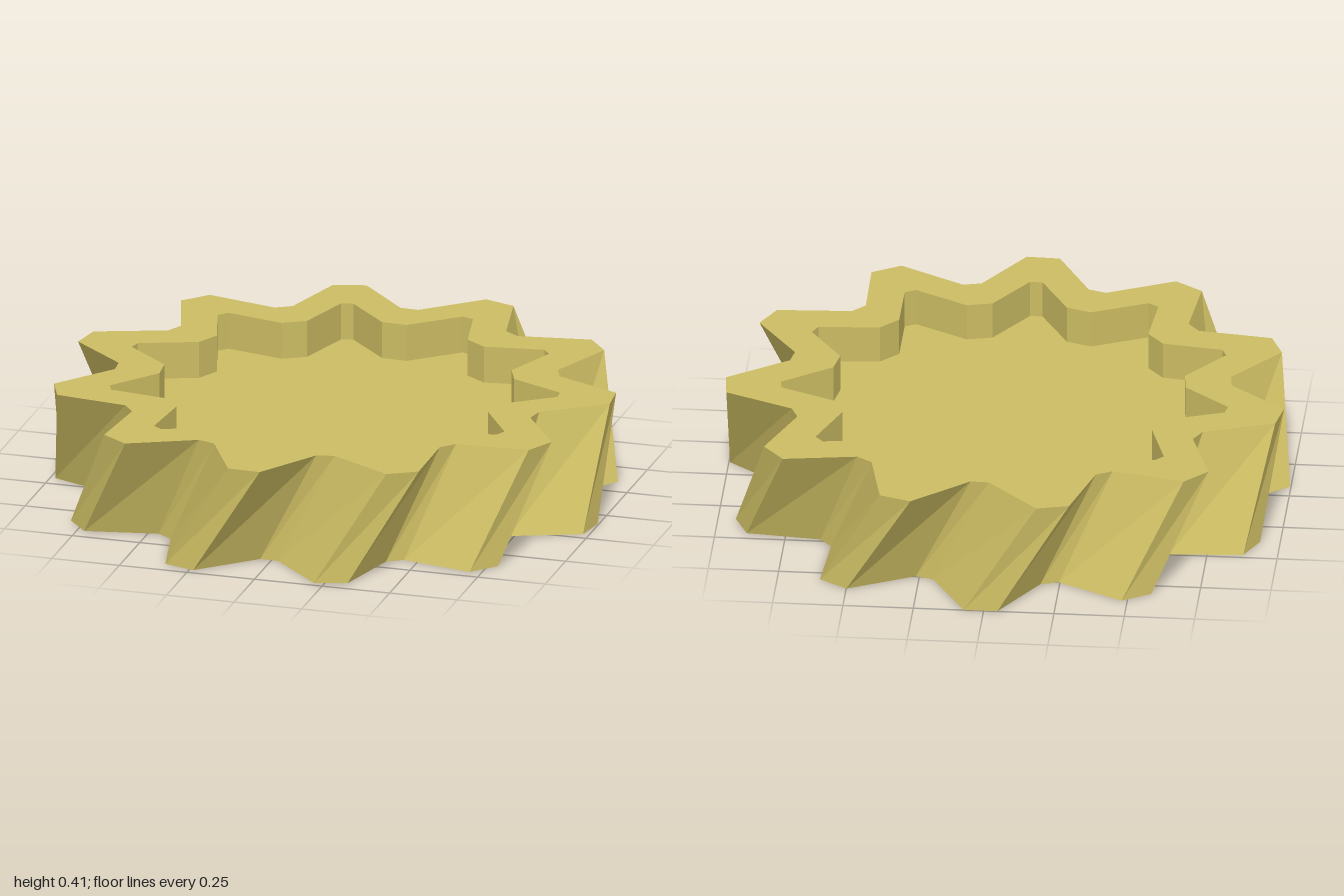
import * as THREE from 'three';

const TEETH = 11, HEIGHT = 0.405, DEPTH = 0.135;
const DEG = Math.PI / 180;
const TOP_TURN = -2.3, BOTTOM_TURN = -17; // tooth direction in degrees from +z towards +x

// Closed star loop: each tooth has two tip corners and two root corners
function loop(tipR, tipHalf, rootR, rootHalf, turn, y) {
  const pts = [], step = 360 / TEETH;
  const add = (r, deg) => pts.push(new THREE.Vector3(r * Math.sin(deg * DEG), y, r * Math.cos(deg * DEG)));
  for (let i = 0; i < TEETH; i++) {
    const c = turn + i * step;
    add(tipR, c - tipHalf);
    add(tipR, c + tipHalf);
    add(rootR, c + step / 2 - rootHalf);
    add(rootR, c + step / 2 + rootHalf);
  }
  return pts;
}
const outer = (turn, y) => loop(1.0, 3.4, 0.792, 2.4, turn, y);
const inner = (turn, y) => loop(0.803, 1.6, 0.63, 4.2, turn, y);
const centre = (y) => loop(0, 0, 0, 0, 0, y);

// Flat-shaded band of faces between two loops
function band(low, high) {
  const pos = [];
  const tri = (...p) => {
    if (new THREE.Triangle(...p).getArea() > 1e-9) p.forEach((v) => pos.push(v.x, v.y, v.z));
  };
  low.forEach((a, i) => {
    const j = (i + 1) % low.length;
    tri(a, low[j], high[j]);
    tri(a, high[j], high[i]);
  });
  const geo = new THREE.BufferGeometry();
  geo.setAttribute('position', new THREE.Float32BufferAttribute(pos, 3));
  geo.computeVertexNormals();
  return geo;
}

export function createModel() {
  const group = new THREE.Group();
  group.name = 'helicalGear';
  const brass = new THREE.MeshStandardMaterial({ color: 0xcabb62 });
  brass.name = 'brass';

  // Loops ordered from the lower floor, around the outside, to the upper floor
  const loops = [
    centre(DEPTH),
    inner(BOTTOM_TURN, DEPTH),
    inner(BOTTOM_TURN, 0),
    outer(BOTTOM_TURN, 0),
    outer(TOP_TURN, HEIGHT),
    inner(TOP_TURN, HEIGHT),
    inner(TOP_TURN, HEIGHT - DEPTH),
    centre(HEIGHT - DEPTH),
  ];
  const names = ['lowerFloor', 'lowerRecessWall', 'lowerRim', 'slantedTeeth',
    'upperRim', 'upperRecessWall', 'upperFloor'];
  names.forEach((name, i) => {
    const mesh = new THREE.Mesh(band(loops[i], loops[i + 1]), brass);
    mesh.name = name;
    group.add(mesh);
  });
  return group;
}
